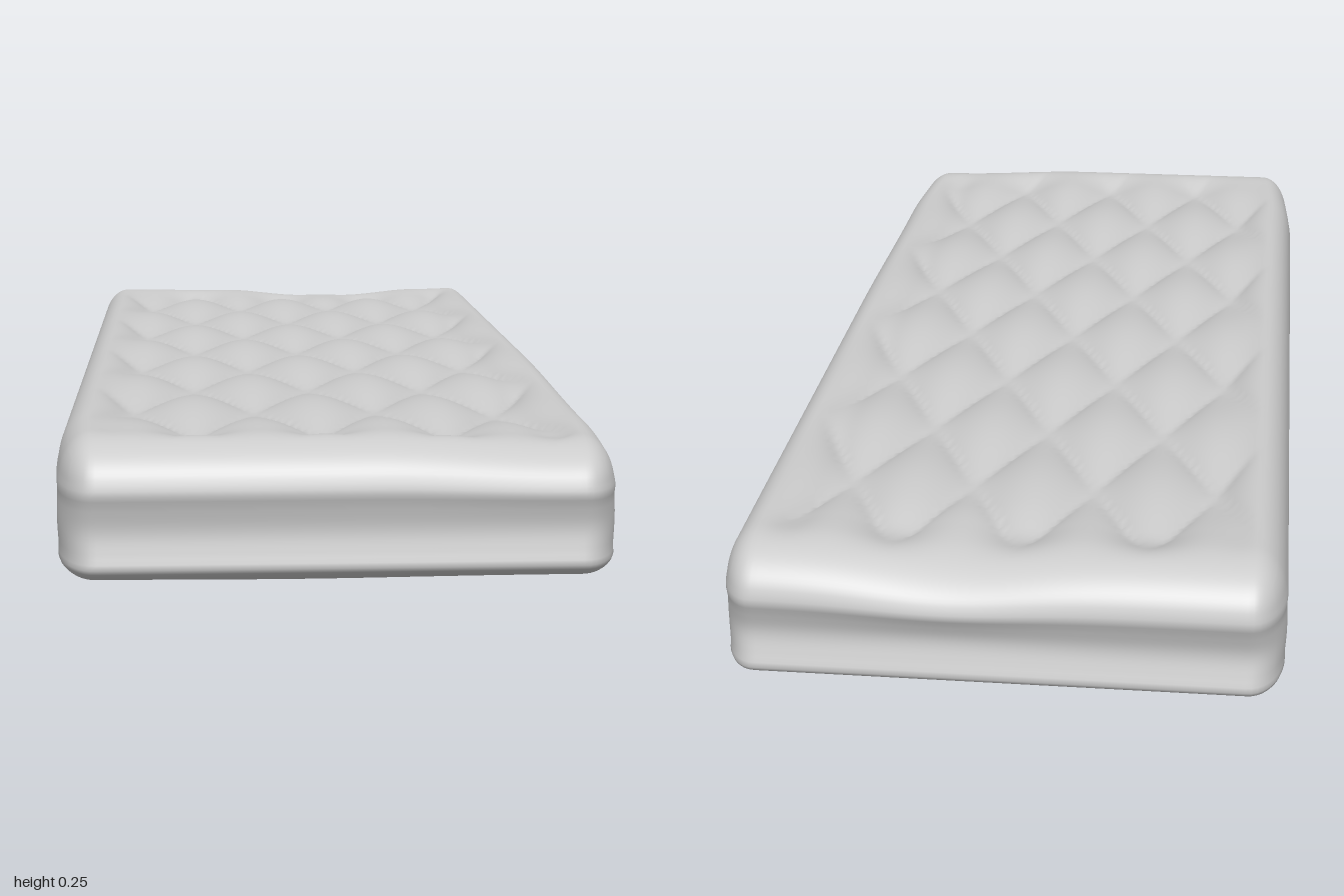
import * as THREE from 'three';
import { mergeVertices } from 'three/addons/utils/BufferGeometryUtils.js';

const HALF_W = 0.416, HALF_L = 0.988, BOTTOM = 0.034, TOP = 0.248;
const clamp = THREE.MathUtils.clamp, smooth = THREE.MathUtils.smoothstep;
const bump = (v, centre, width) => Math.exp(-(((v - centre) / width) ** 2));

// diamond pillows between stitched diagonals: 0 on a pillow, 1 on a stitch
function stitch(x, z) {
  const a = (x + 0.02) / 0.19, b = (z - 0.83) / 0.43;
  const s = Math.abs(Math.sin(Math.PI * (a + b)) * Math.sin(Math.PI * (a - b)));
  return 1 - s ** 0.7;
}

// box corner rounding with a separate radius on each axis
function roundOff(p) {
  const rx = 0.052, rz = 0.11, rTop = 0.072, rLow = 0.036;
  const inner = new THREE.Vector3(
    clamp(p.x, -HALF_W + rx, HALF_W - rx),
    clamp(p.y, BOTTOM + rLow, TOP - rTop),
    clamp(p.z, -HALF_L + rz, HALF_L - rz));
  const r = new THREE.Vector3(rx, p.y > inner.y ? rTop : rLow, rz);
  const n = p.clone().sub(inner).divide(r).normalize();
  p.copy(inner).add(n.clone().multiply(r));
  return n;
}

function mattressGeometry() {
  const height = TOP - BOTTOM;
  let geo = new THREE.BoxGeometry(HALF_W * 2, height, HALF_L * 2, 90, 28, 160);
  geo.translate(0, BOTTOM + height / 2, 0);
  geo.deleteAttribute('uv');
  geo.deleteAttribute('normal');
  geo = mergeVertices(geo);

  const pos = geo.attributes.position, p = new THREE.Vector3();
  for (let i = 0; i < pos.count; i++) {
    p.fromBufferAttribute(pos, i);
    const n = roundOff(p);
    const { x, y, z } = p;

    // piping seams, gently bulging long sides and a soft groove across both ends
    const seam = bump(y, 0.172, 0.01) + bump(y, 0.062, 0.01);
    const middle = bump(y, 0.118, 0.038);
    p.x += n.x * (0.002 * seam + 0.003 * middle);
    p.z += n.z * (0.003 * seam - (z > 0 ? 0.01 : 0.014) * middle);

    // quilted top, set slightly below its plain border
    const up = Math.max(n.y, 0);
    const field = (1 - smooth(Math.abs(x), 0.3, 0.38)) * (1 - smooth(Math.abs(z), 0.82, 0.93));
    p.y -= up * field * (0.003 + 0.024 * stitch(x, z));

    // sag at the back edge and along the front left border
    const upper = smooth(y, 0.1, TOP);
    p.y -= upper * 0.02 * bump(x, 0.08, 0.15) * smooth(-z, 0.75, 0.98);
    p.y -= upper * 0.012 * smooth(x, 0.05, 0.35) * smooth(z, 0.1, 0.7);

    // belly under the middle
    const across = Math.cos(clamp((x + 0.06) / 0.38, -1, 1) * Math.PI / 2) ** 2;
    const along = 1 - Math.min(Math.abs(z) / 0.97, 1) ** 2.5;
    p.y -= Math.max(-n.y, 0) * (0.004 + 0.03 * across) * along;

    // slight taper towards the front corners
    p.x *= 1 - 0.035 * smooth(z, 0.7, 1);
    pos.setXYZ(i, p.x, p.y, p.z);
  }
  geo.computeVertexNormals();
  return geo;
}

export function createModel() {
  const group = new THREE.Group();
  const mattress = new THREE.Mesh(
    mattressGeometry(), new THREE.MeshStandardMaterial({ color: 0xcccccc }));
  mattress.name = 'quiltedMattress';
  mattress.rotation.y = -0.03; // lies a little askew
  group.add(mattress);
  return group;
}
